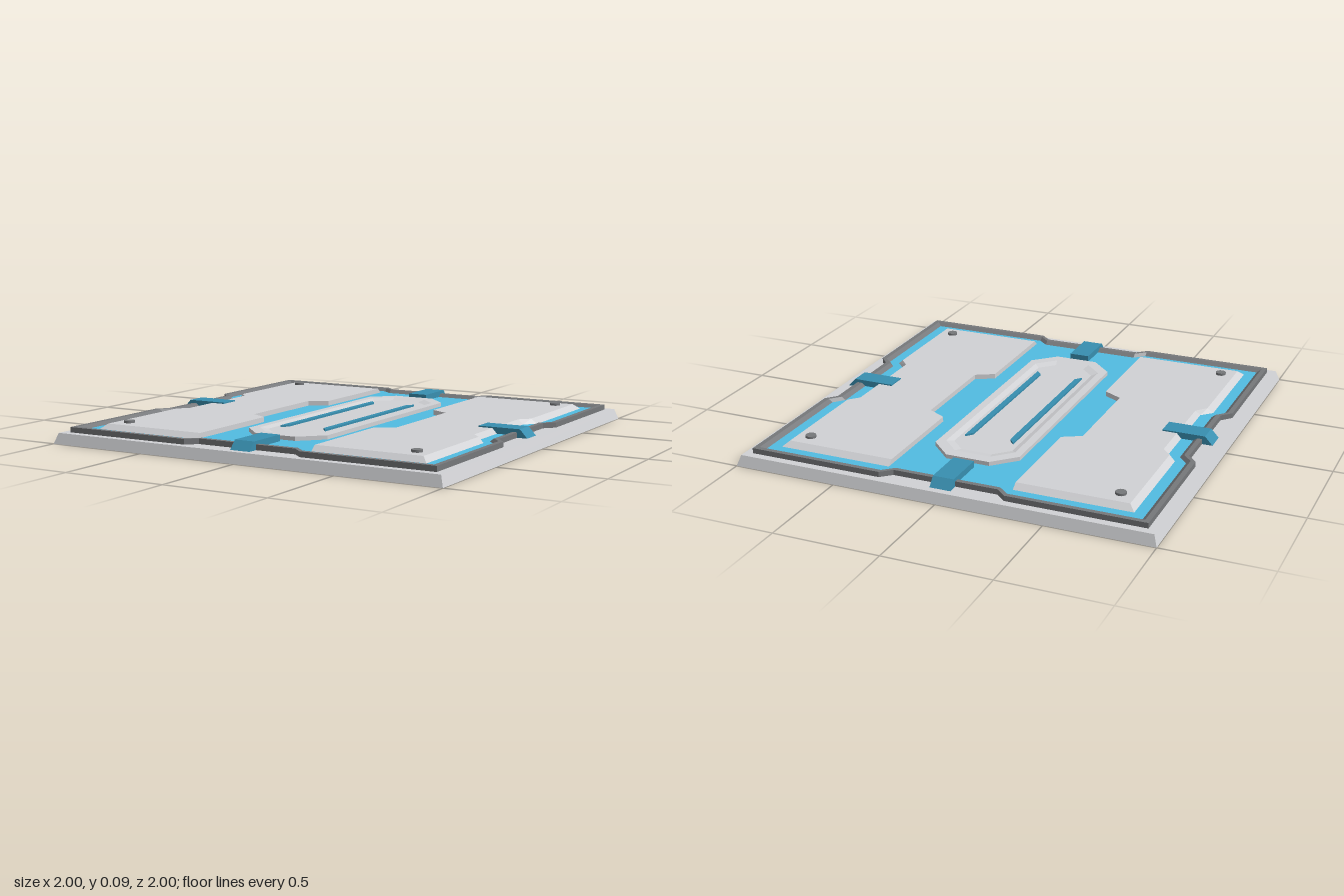
import * as THREE from 'three';

const mat = (name, color) => Object.assign(new THREE.MeshStandardMaterial({ color }), { name });

// Skin through rings of equal point count ({ y, pts: [x, z] }), with an optional cap on the last ring
function loft(rings, cap) {
  const pos = [];
  const put = (ring, i) => pos.push(ring.pts[i][0], ring.y, ring.pts[i][1]);
  for (let r = 0; r + 1 < rings.length; r++) {
    const a = rings[r], b = rings[r + 1], n = a.pts.length;
    for (let i = 0; i < n; i++) {
      const j = (i + 1) % n;
      put(a, i); put(a, j); put(b, j);
      put(a, i); put(b, j); put(b, i);
    }
  }
  if (cap) {
    const top = rings[rings.length - 1];
    const flat = top.pts.map(([x, z]) => new THREE.Vector2(x, -z));
    for (const face of THREE.ShapeUtils.triangulateShape(flat, [])) face.forEach(i => put(top, i));
  }
  const g = new THREE.BufferGeometry();
  g.setAttribute('position', new THREE.Float32BufferAttribute(pos, 3));
  g.computeVertexNormals();
  return g;
}

// Square outline with a shallow notch in the middle of each side
function notchedSquare(o, n) {
  const pts = [];
  let side = [[-o, o], [-0.3, o], [-0.25, n], [0.25, n], [0.3, o]];
  for (let k = 0; k < 4; k++) {
    pts.push(...side);
    side = side.map(([x, z]) => [z, -x]);
  }
  return pts;
}

const square = s => [[-s, s], [s, s], [s, -s], [-s, -s]];

// Long octagon with cut corners
const octagon = (x, z, c) => [
  [-x + c, z], [x - c, z], [x, z - c], [x, -z + c],
  [x - c, -z], [-x + c, -z], [-x, -z + c], [-x, z - c],
];

// Side panel outline; d insets the three outer edges
function panelOutline(d) {
  const e = 0.85 - d, n = 0.8 - d * 0.8;
  return [[0.3, e], [e, e], [e, 0.3 - d * 0.3], [n, 0.25 - d * 0.3], [n, -0.25 + d * 0.3], [e, -0.3 + d * 0.3],
    [e, -e], [0.3, -e], [0.3, -0.3], [0.39, -0.25], [0.39, 0.25], [0.3, 0.3]];
}

export function createModel() {
  const light = mat('lightGrey', 0xd1d2d5);
  const under = mat('undersideGrey', 0xb9bbbe);
  const dark = mat('darkGrey', 0x76787b);
  const blue = mat('blue', 0x52bce2);
  const teal = mat('teal', 0x388fb0);
  const group = new THREE.Group();
  const add = (name, geometry, material, parent = group) => {
    const mesh = new THREE.Mesh(geometry, material);
    mesh.name = name;
    parent.add(mesh);
    return mesh;
  };

  // Hollow sloped base: outer wall, flat rim, inner wall
  add('baseFrame', loft([
    { y: 0, pts: square(1) },
    { y: 0.05, pts: square(0.983) },
    { y: 0.05, pts: square(0.85) },
  ]), light);
  add('baseInnerWall', loft([
    { y: 0.048, pts: square(0.981) },
    { y: 0, pts: square(0.999) },
  ]), light);
  const underside = add('underside', new THREE.PlaneGeometry(1.962, 1.962), under);
  underside.rotation.x = Math.PI / 2;
  underside.position.y = 0.048;

  // Raised dark border and the blue floor inside it
  add('border', loft([
    { y: 0.05, pts: notchedSquare(0.945, 0.9) },
    { y: 0.075, pts: notchedSquare(0.945, 0.9) },
    { y: 0.075, pts: notchedSquare(0.922, 0.877) },
    { y: 0.06, pts: notchedSquare(0.902, 0.857) },
  ]), dark);
  add('floor', loft([{ y: 0.06, pts: notchedSquare(0.903, 0.858) }], true), blue);

  // Two bevelled side panels with corner bolts
  for (const [name, turn] of [['leftPanel', 0], ['rightPanel', Math.PI]]) {
    const panel = new THREE.Group();
    panel.name = name;
    panel.rotation.y = turn;
    group.add(panel);
    add('panelPlate', loft([
      { y: 0.06, pts: panelOutline(0) },
      { y: 0.084, pts: panelOutline(0.028) },
    ], true), light, panel);
    for (const s of [-1, 1]) {
      add('bolt', new THREE.CylinderGeometry(0.025, 0.025, 0.012, 16), dark, panel)
        .position.set(0.755, 0.089, s * 0.75);
    }
  }

  // Central pad with a shallow recess
  add('centrePad', loft([
    { y: 0.06, pts: octagon(0.21, 0.67, 0.105) },
    { y: 0.079, pts: octagon(0.21, 0.67, 0.105) },
    { y: 0.079, pts: octagon(0.172, 0.615, 0.085) },
    { y: 0.07, pts: octagon(0.145, 0.572, 0.07) },
  ], true), light);

  // Thin strips in the recess
  const strip = [[0.093, 0.405], [0.121, 0.437], [0.121, -0.437], [0.093, -0.405]];
  for (const turn of [0, Math.PI]) {
    add('padStrip', loft([{ y: 0.07, pts: strip }, { y: 0.079, pts: strip }], true), teal).rotation.y = turn;
  }

  // Four clips folding over the border
  const profile = new THREE.Shape([[0.708, 0.05], [0.95, 0.05], [0.913, 0.09], [0.708, 0.09]]
    .map(p => new THREE.Vector2(...p)));
  const clip = new THREE.ExtrudeGeometry(profile, { depth: 0.1, bevelEnabled: false });
  clip.translate(0, 0, -0.05);
  for (let k = 0; k < 4; k++) add('clip', clip, teal).rotation.y = k * Math.PI / 2;

  return group;
}
